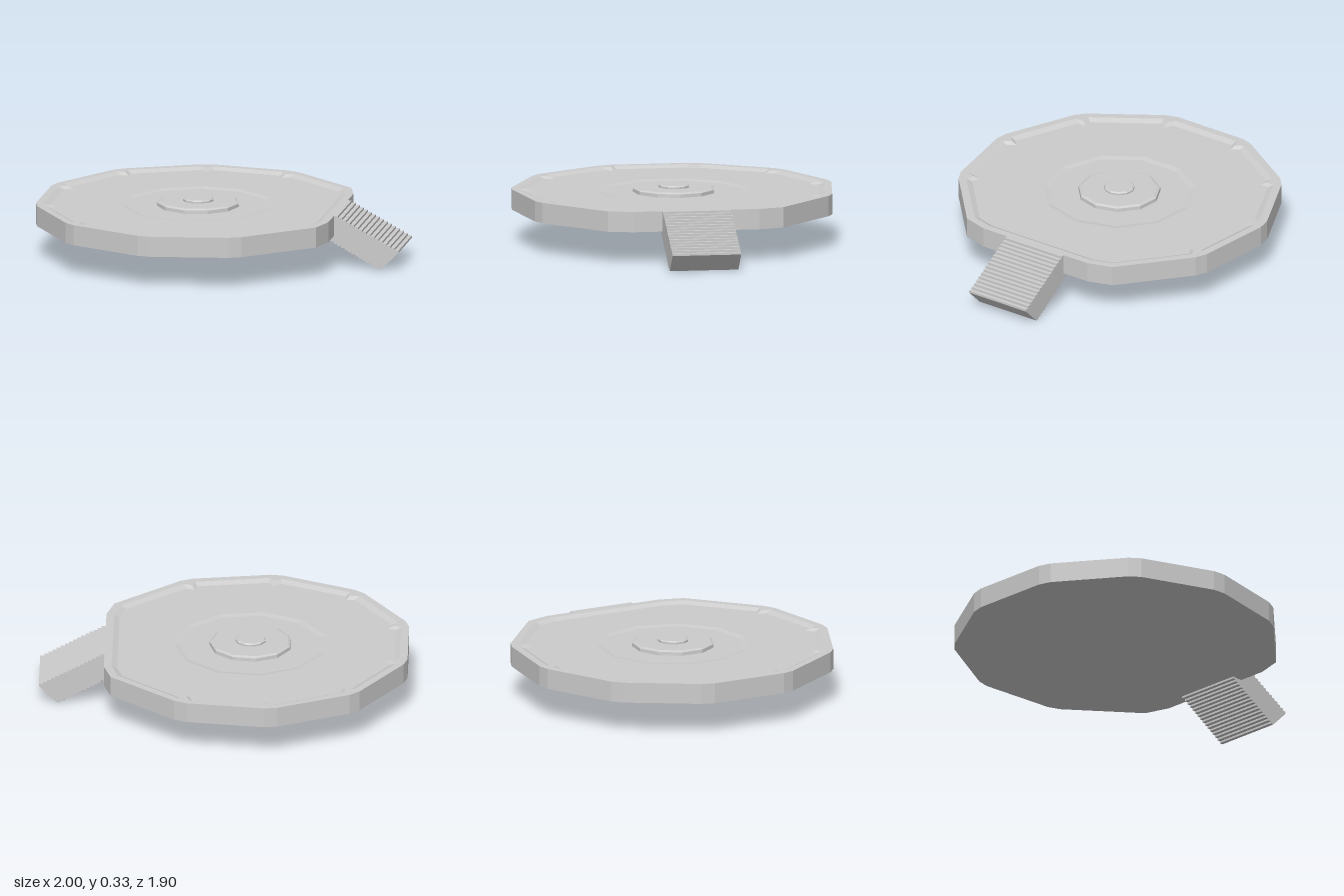
import * as THREE from 'three';

const SIDES = 11, STEP = (Math.PI * 2) / SIDES, CUT = 4;
const CX = -0.06, CZ = -0.015;
const APOTHEM = 0.918, CUT_DIST = 0.848;
const material = new THREE.MeshStandardMaterial({ color: 0xcccccc, flatShading: true });

const corner = (k, r) => new THREE.Vector2(Math.sin(k * STEP) * r, -Math.cos(k * STEP) * r);

// Plain eleven-sided ring, three points per corner
function plainRing(r, y) {
  return outline(r, y, () => 0.075, (k, a, b) => corner(k, r));
}

// Platform edge moved inward; corners are bevelled or toothed, one is cut off for the ramp
function edgeRing(inset, y, tooth) {
  const r = (APOTHEM - inset) / Math.cos(STEP / 2);
  const near = r * Math.cos(STEP);
  const cutShare = 1 - (CUT_DIST - inset - near) / (r - near);
  const share = k => (k === CUT ? cutShare : 0.075);
  return outline(r, y, share, (k, a, b) => {
    if (k === CUT) return a.clone().lerp(b, 0.5);
    if (Math.abs(k - CUT) === 1) return corner(k, r);
    return tooth ? corner(k, r - tooth) : a.clone().lerp(b, 0.5);
  });
}

function outline(r, y, share, middle) {
  const ring = [];
  for (let k = 0; k < SIDES; k++) {
    const v = corner(k, r);
    const a = v.clone().lerp(corner(k - 1, r), share(k));
    const b = v.clone().lerp(corner(k + 1, r), share(k));
    for (const p of [a, middle(k, a, b), b]) ring.push([p.x, y, p.y]);
  }
  return ring;
}

// Joins successive rings with faces
function loft(rings) {
  const pos = [];
  for (let j = 0; j < rings.length - 1; j++) {
    const A = rings[j], B = rings[j + 1], n = A.length;
    for (let i = 0; i < n; i++) {
      const m = (i + 1) % n;
      if (j < rings.length - 2) pos.push(...A[i], ...B[i], ...B[m]);
      if (j > 0) pos.push(...A[i], ...B[m], ...A[m]);
      else pos.push();
    }
  }
  const g = new THREE.BufferGeometry();
  g.setAttribute('position', new THREE.Float32BufferAttribute(pos, 3));
  g.computeVertexNormals();
  return g;
}

function addPart(parent, name, geometry) {
  const mesh = new THREE.Mesh(geometry, material);
  mesh.name = name;
  parent.add(mesh);
  return mesh;
}

// Faceted round piece lined up with the platform corners
function turned(profile) {
  const g = new THREE.LatheGeometry(profile.map(p => new THREE.Vector2(...p)), SIDES);
  return g.rotateY(Math.PI);
}

// Side profile of the ramp, finely stepped above and below
function rampGeometry() {
  const steps = 16, pts = [];
  const stairs = (x0, y0, x1, y1) => {
    for (let i = 0; i < steps; i++) {
      const t = i / steps, u = (i + 1) / steps;
      const x = x0 + (x1 - x0) * u;
      pts.push([x, y0 + (y1 - y0) * t], [x, y0 + (y1 - y0) * u]);
    }
  };
  pts.push([0.84, 0.2], [0.848, 0.31]);
  stairs(0.848, 0.31, 1.23, 0.105);
  pts.push([1.125, 0]);
  stairs(1.125, 0, 0.78, 0.19);
  pts.push([0.78, 0.2]);
  const shape = new THREE.Shape(pts.map(p => new THREE.Vector2(...p)));
  return new THREE.ExtrudeGeometry(shape, { depth: 0.404, bevelEnabled: false }).translate(0, 0, -0.202);
}

export function createModel() {
  const model = new THREE.Group();
  model.name = 'platformWithRamp';
  const body = new THREE.Group();
  body.name = 'landingPlatform';
  body.position.set(CX, 0, CZ);
  model.add(body);

  // Platform: underside, wall, raised rim, floor and shallow round recess
  addPart(body, 'platform', loft([
    plainRing(0, 0.19),
    edgeRing(0, 0.19, 0),
    edgeRing(0, 0.31, 0),
    edgeRing(0.045, 0.31, 0.05),
    edgeRing(0.078, 0.295, 0.05),
    plainRing(0.45, 0.295),
    plainRing(0.415, 0.289),
    plainRing(0, 0.289),
  ]));

  // Central hub and its cap
  addPart(body, 'hub', turned([[0.242, 0.285], [0.24, 0.309], [0.225, 0.317], [0, 0.317]]));
  addPart(body, 'hubCap', turned([[0.09, 0.316], [0.09, 0.327], [0.082, 0.334], [0, 0.334]]));

  // Ramp leading away from the cut corner
  const ramp = addPart(body, 'ramp', rampGeometry());
  ramp.rotation.y = Math.PI / 2 - CUT * STEP;

  return model;
}
